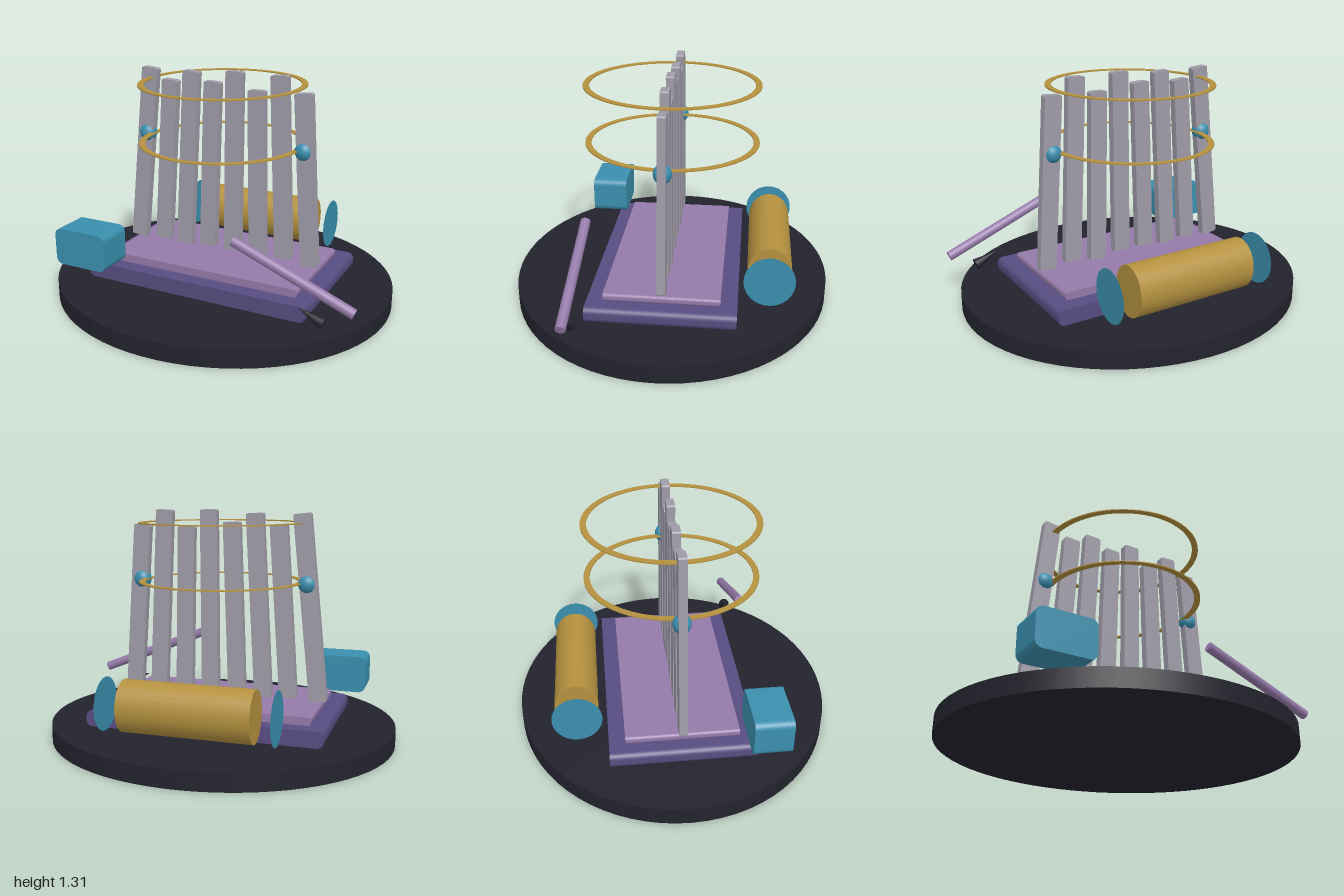
import * as THREE from 'three';

const mat = (name, color, side = THREE.FrontSide) => {
  const m = new THREE.MeshStandardMaterial({ color, side });
  m.name = name;
  return m;
};

export function createModel() {
  const model = new THREE.Group();
  const dark = mat('charcoal', 0x23232e);
  const purple = mat('deep purple', 0x574c80);
  const lilac = mat('lilac', 0x957aa9);
  const grey = mat('stone grey', 0x9f9ca8);
  const gold = mat('gold', 0xb4913f);
  const blue = mat('teal blue', 0x3a8fae);
  const blueDisc = mat('teal blue disc', 0x3a8fae, THREE.DoubleSide);

  const add = (name, geometry, material, x = 0, y = 0, z = 0) => {
    const mesh = new THREE.Mesh(geometry, material);
    mesh.name = name;
    mesh.position.set(x, y, z);
    model.add(mesh);
    return mesh;
  };

  // Rectangle with rounded corners in the front plane, extruded along z and centred
  const roundedSlab = (w, h, d, r) => {
    const s = new THREE.Shape();
    const x = w / 2 - r, y = h / 2 - r;
    s.absarc(x, y, r, 0, Math.PI / 2);
    s.absarc(-x, y, r, Math.PI / 2, Math.PI);
    s.absarc(-x, -y, r, Math.PI, Math.PI * 1.5);
    s.absarc(x, -y, r, Math.PI * 1.5, Math.PI * 2);
    return new THREE.ExtrudeGeometry(s, { depth: d, bevelEnabled: false, curveSegments: 6 })
      .translate(0, 0, -d / 2);
  };

  // Turns a mesh whose length runs along y so that it spans two points in the front plane
  const span = (mesh, x0, y0, x1, y1) => {
    mesh.position.x = (x0 + x1) / 2;
    mesh.position.y = (y0 + y1) / 2;
    mesh.rotation.z = Math.atan2(x0 - x1, y1 - y0);
    return mesh;
  };

  // Oval ground plate and two stacked plinths
  add('groundPlate', new THREE.CylinderGeometry(1, 1, 0.1, 72).scale(1, 1, 0.912), dark, 0, 0.05, 0);
  add('lowerPlinth', roundedSlab(1.35, 0.09, 0.81, 0.035), purple, 0, 0.145, 0);
  add('upperPlinth', roundedSlab(1.18, 0.045, 0.63, 0.018), lilac, 0, 0.2125, 0);

  // Fan of slats: bottom x, bottom y, top x, top y
  const slats = [
    [-0.571, 0.24, -0.463, 1.29], [-0.398, 0.25, -0.332, 1.23],
    [-0.251, 0.243, -0.195, 1.29], [-0.094, 0.257, -0.061, 1.24],
    [0.067, 0.257, 0.075, 1.308], [0.227, 0.238, 0.209, 1.213],
    [0.388, 0.26, 0.342, 1.305], [0.546, 0.242, 0.481, 1.22],
  ];
  for (const [x0, y0, x1, y1] of slats) {
    const length = Math.hypot(x1 - x0, y1 - y0);
    span(add('slat', roundedSlab(0.1, length, 0.046, 0.012), grey), x0, y0, x1, y1);
  }

  // Thin flat hoops around the slats
  const hoop = new THREE.Shape().absellipse(0, 0, 0.468, 0.49, 0, Math.PI * 2);
  hoop.holes.push(new THREE.Path().absellipse(0, 0, 0.432, 0.456, 0, Math.PI * 2, true));
  const hoopGeometry = new THREE.ExtrudeGeometry(hoop, { depth: 0.006, bevelEnabled: false, curveSegments: 40 })
    .translate(0, 0, -0.003).rotateX(-Math.PI / 2);
  for (const y of [0.905, 1.235]) add('hoop', hoopGeometry, gold, 0, y, 0);

  // Beads on the outer slats
  for (const x of [-0.495, 0.49]) {
    add('bead', new THREE.SphereGeometry(0.052, 24, 16).scale(1, 1.03, 0.95), blue, x, 0.902, 0);
  }

  // Roller lying behind, with a loose disc off each end
  add('roller', new THREE.CylinderGeometry(0.142, 0.142, 0.72, 32).rotateZ(Math.PI / 2).scale(1, 1, 0.86),
    gold, 0, 0.291, -0.572);
  for (const side of [-1, 1]) {
    const disc = new THREE.CircleGeometry(0.143, 40).scale(0.97, 1.02, 1).rotateY(side * Math.PI / 2);
    add('rollerDisc', disc, blueDisc, side * 0.47, 0.291, -0.57);
  }

  // Rounded box at the front right
  add('roundedBox', roundedSlab(0.33, 0.215, 0.212, 0.04), blue, -0.62, 0.3265, 0.457);

  // Stick and its dark cone tip at the front left
  const stick = new THREE.CylinderGeometry(0.028, 0.028, 0.717, 20);
  span(add('stick', stick, lilac, 0, 0, 0.456), 0.949, 0.243, 0.286, 0.511);
  const tip = new THREE.ConeGeometry(0.035, 0.149, 20);
  span(add('coneTip', tip, dark, 0, 0, 0.456), 0.792, 0.155, 0.655, 0.214);

  return model;
}
